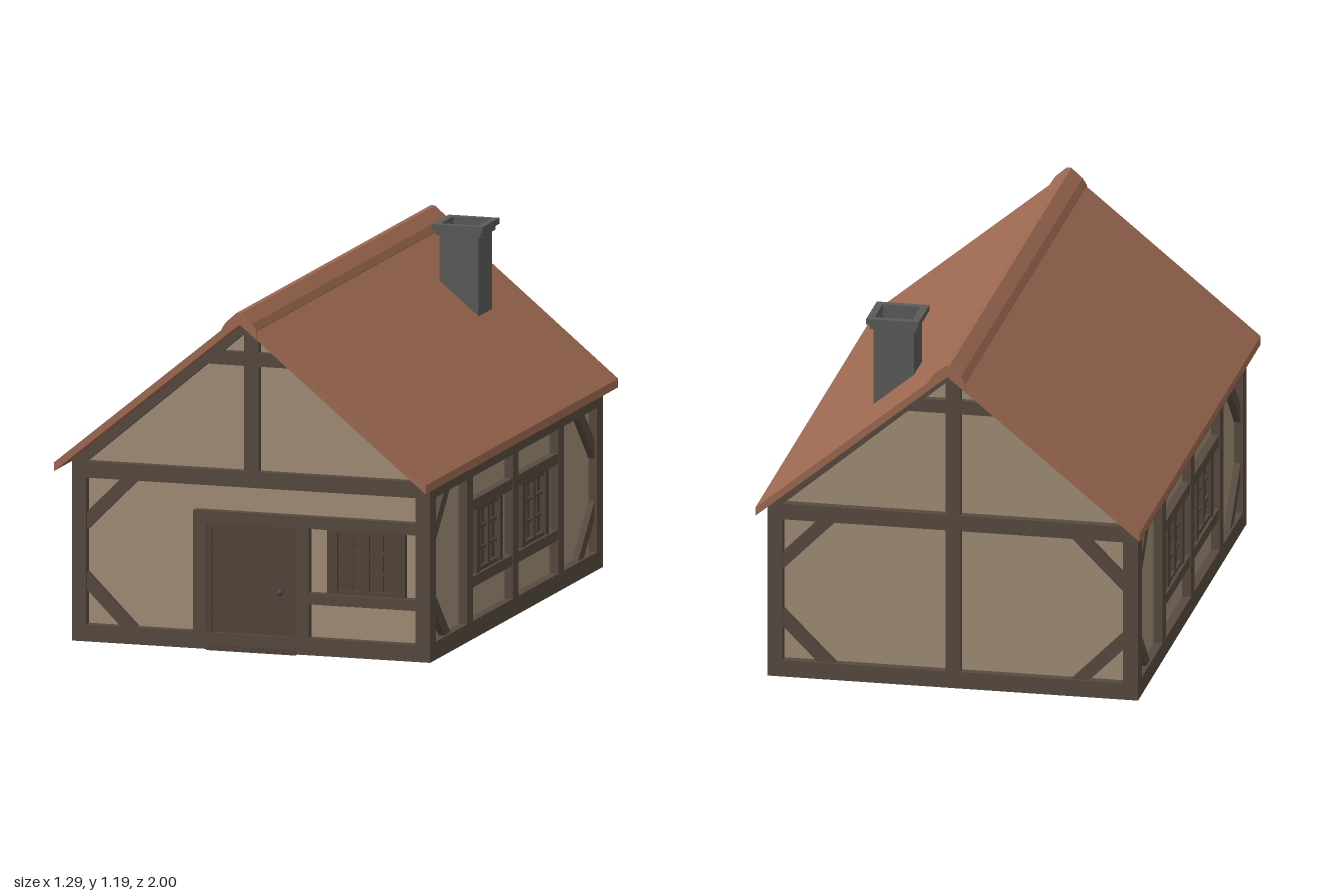
import * as THREE from 'three';

const mat = (name, color) => {
  const m = new THREE.MeshStandardMaterial({ color });
  m.name = name;
  return m;
};

export function createModel() {
  const plaster = mat('plaster', 0xa18d76);
  const timber = mat('timber', 0x574a40);
  const joinery = mat('dark joinery', 0x52443a);
  const tile = mat('roof tile', 0x9e6a52);
  const stone = mat('chimney stone', 0x5a5a58);
  const iron = mat('iron', 0x434c54);

  const house = new THREE.Group();
  house.name = 'cottage';
  const MID = -0.0135;   // centre of the walls along z
  const W = 0.59, L = 0.8605, D = 0.03; // wall half width, half length, timber depth

  const group = (name, parent = house) => {
    const g = new THREE.Group();
    g.name = name;
    parent.add(g);
    return g;
  };
  const add = (parent, name, geo, material) => {
    const m = new THREE.Mesh(geo, material);
    m.name = name;
    parent.add(m);
    return m;
  };
  // box given by its extents on a wall, standing out from the wall plane
  const bar = (g, name, u0, u1, y0, y1, d = D, material = timber, z0 = -0.005) => {
    const m = add(g, name, new THREE.BoxGeometry(u1 - u0, y1 - y0, d - z0), material);
    m.position.set((u0 + u1) / 2, (y0 + y1) / 2, (d + z0) / 2);
    return m;
  };
  const prism = (pts, depth, z0) => {
    const s = new THREE.Shape(pts.map(p => new THREE.Vector2(...p)));
    return new THREE.ExtrudeGeometry(s, { depth, bevelEnabled: false }).translate(0, 0, z0);
  };
  // diagonal brace between a post at u and the sill or top beam
  const brace = (g, u, dir, top) => {
    const y0 = top ? 0.55 : 0.06, s = top ? -1 : 1, a = 0.115, b = 0.175;
    const pts = [[u, y0 + s * a], [u + dir * a, y0], [u + dir * b, y0], [u, y0 + s * b]];
    if (dir * s < 0) pts.reverse();
    add(g, 'cornerBrace', prism(pts, 0.025, -0.003), timber);
  };
  const windowUnit = (g, u) => {
    const w = group('window', g), y0 = 0.21, y1 = 0.426, h = 0.135;
    bar(w, 'windowPane', u - h, u + h, y0, y1, 0.004, joinery);
    for (const s of [-1, 1]) {
      bar(w, 'windowJamb', u + s * 0.1175 - 0.0175, u + s * 0.1175 + 0.0175, y0, y1, 0.022, joinery);
    }
    bar(w, 'windowHead', u - 0.1, u + 0.1, y1 - 0.014, y1, 0.018, joinery);
    bar(w, 'windowFoot', u - 0.1, u + 0.1, y0, y0 + 0.014, 0.018, joinery);
    bar(w, 'windowMullion', u - 0.009, u + 0.009, y0, y1, 0.018, joinery);
    for (const s of [-1, 1]) {
      bar(w, 'glazingBar', u + s * 0.052 - 0.004, u + s * 0.052 + 0.004, y0, y1, 0.01, joinery);
    }
    for (const y of [0.282, 0.354]) bar(w, 'glazingBar', u - 0.1, u + 0.1, y - 0.005, y + 0.005, 0.012, joinery);
  };

  // plastered body with gables
  add(house, 'walls', prism([[-W, 0], [W, 0], [W, 0.605], [0, 1.095], [-W, 0.605]], 2 * L, MID - L), plaster);

  // gable end framing shared by front and back
  const gableEnd = (name) => {
    const g = group(name);
    bar(g, 'sill', -0.62, 0.62, 0.003, 0.06);
    bar(g, 'tieBeam', -0.62, 0.62, 0.55, 0.604);
    bar(g, 'collarBeam', -0.16, 0.16, 0.955, 1.0, 0.025);
    bar(g, 'kingPost', -0.025, 0.025, 0.604, 1.08, 0.027);
    for (const s of [-1, 1]) {
      bar(g, 'cornerPost', s * 0.595 - 0.025, s * 0.595 + 0.025, 0.003, 0.6);
      const pts = [[0, 1.083], [s * 0.57, 0.603], [s * 0.62, 0.603], [0, 1.116]];
      if (s < 0) pts.reverse();
      add(g, 'rafter', prism(pts, D + 0.005, -0.005), timber);
    }
    return g;
  };

  const front = gableEnd('frontWall');
  front.position.z = MID + L;
  brace(front, -0.57, 1, true);
  brace(front, -0.57, 1, false);
  bar(front, 'doorPost', -0.2, -0.155, 0.003, 0.465);
  bar(front, 'doorPost', 0.155, 0.2, 0.003, 0.465);
  bar(front, 'lintel', -0.2, 0.57, 0.425, 0.465);
  bar(front, 'windowSill', 0.2, 0.57, 0.173, 0.21);
  windowUnit(front, 0.395);

  // door with raised border, rails and knob
  const door = group('door', front);
  bar(door, 'doorPanel', -0.155, 0.155, 0.003, 0.425, 0.02, joinery);
  bar(door, 'threshold', -0.155, 0.155, 0, 0.02, 0.034, joinery);
  bar(door, 'doorTopRail', -0.155, 0.155, 0.405, 0.425, 0.027, joinery);
  for (const s of [-1, 1]) {
    bar(door, 'doorStile', s * 0.146 - 0.009, s * 0.146 + 0.009, 0.02, 0.405, 0.027, joinery);
  }
  for (const y of [0.13, 0.34]) bar(door, 'doorStrap', -0.137, 0.08, y - 0.008, y + 0.008, 0.023, joinery);
  add(door, 'doorKnob', new THREE.SphereGeometry(0.011, 12, 8), iron).position.set(0.102, 0.207, 0.032);

  const back = gableEnd('backWall');
  back.rotation.y = Math.PI;
  back.position.z = MID - L;
  bar(back, 'middlePost', -0.025, 0.025, 0.06, 0.55);
  for (const s of [-1, 1]) for (const top of [true, false]) brace(back, s * 0.57, -s, top);

  // long sides, mirrored
  for (const s of [1, -1]) {
    const g = group(s > 0 ? 'leftWall' : 'rightWall');
    g.rotation.y = s * Math.PI / 2;
    g.position.set(s * W, 0, MID);
    bar(g, 'sill', -0.8905, 0.8905, 0.003, 0.063);
    bar(g, 'wallPlate', -0.8905, 0.8905, 0.545, 0.603);
    for (const u of [-0.479, -0.0065, 0.461]) bar(g, 'post', s * u - 0.029, s * u + 0.029, 0.06, 0.55);
    for (const e of [-1, 1]) {
      bar(g, 'cornerPost', e * 0.86 - 0.0305, e * 0.86 + 0.0305, 0.003, 0.6);
      for (const top of [true, false]) brace(g, e * 0.83, -e, top);
      const c = e * 0.236;
      bar(g, 'windowLintel', c - 0.21, c + 0.21, 0.428, 0.465, 0.028);
      bar(g, 'windowSill', c - 0.21, c + 0.21, 0.174, 0.21, 0.028);
    }
    for (const u of [-0.248, 0.2215]) windowUnit(g, s * u);
  }

  // roof slopes and ridge cap
  const roof = group('roof');
  add(roof, 'roofSlopes', prism(
    [[0, 1.116], [0.643, 0.588], [0.643, 0.617], [0, 1.146], [-0.643, 0.617], [-0.643, 0.588]], 1.988, -0.994), tile);
  add(roof, 'ridgeCap', prism(
    [[0, 1.12], [0.058, 1.072], [0.06, 1.1], [0.046, 1.122], [0.008, 1.156],
      [-0.008, 1.156], [-0.046, 1.122], [-0.06, 1.1], [-0.058, 1.072]], 2, -1), tile);

  // hollow chimney built from square rings
  const chimney = group('chimney');
  chimney.position.set(0.246, 0, -0.603);
  const ring = (name, r, hole, y0, y1) => {
    const sq = k => [[-k, -k], [k, -k], [k, k], [-k, k]].map(p => new THREE.Vector2(...p));
    const s = new THREE.Shape(sq(r));
    s.holes.push(new THREE.Path(sq(hole).reverse()));
    const geo = new THREE.ExtrudeGeometry(s, { depth: y1 - y0, bevelEnabled: false });
    add(chimney, name, geo.rotateX(-Math.PI / 2).translate(0, y0, 0), stone);
  };
  ring('chimneyShaft', 0.068, 0.06, 0.87, 1.16);
  ring('chimneyCollar', 0.078, 0.062, 1.152, 1.171);
  ring('chimneyCap', 0.088, 0.063, 1.17, 1.19);

  return house;
}
